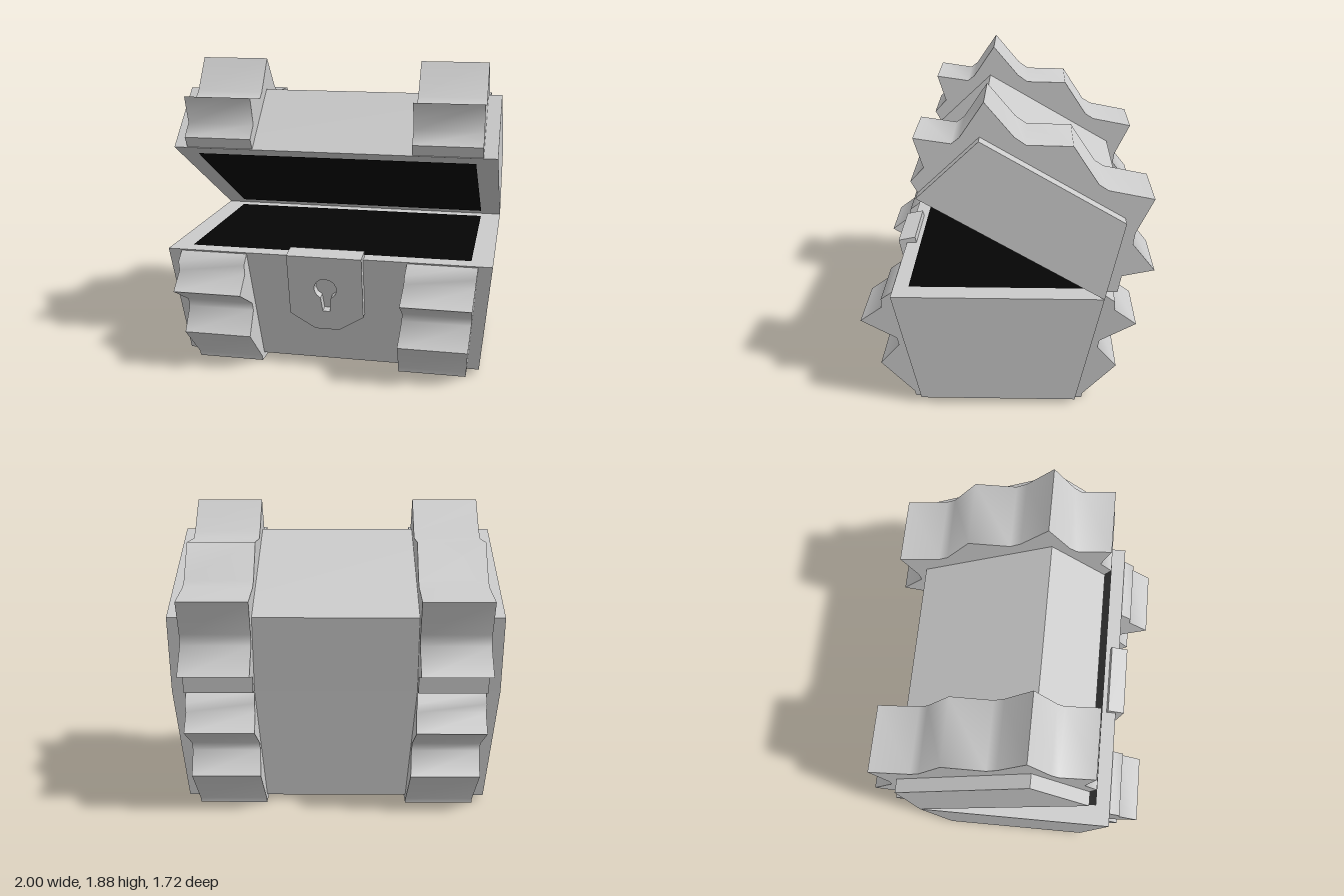
import * as THREE from 'three';
import { toCreasedNormals } from 'three/addons/utils/BufferGeometryUtils.js';

const grey = new THREE.MeshStandardMaterial({ color: 0xcccccc });
const black = new THREE.MeshStandardMaterial({ color: 0x050505, side: THREE.DoubleSide });

// Extrudes a side profile of [z, y] points along x, centred on x = 0
function extrudeProfile(points, width) {
  const shape = new THREE.Shape(points.map(([z, y]) => new THREE.Vector2(-z, y)));
  const geo = new THREE.ExtrudeGeometry(shape, { depth: width, bevelEnabled: false });
  return geo.translate(0, 0, -width / 2).rotateY(Math.PI / 2);
}

function addMesh(parent, name, geo, mat = grey) {
  const mesh = new THREE.Mesh(geo, mat);
  mesh.name = name;
  parent.add(mesh);
  return mesh;
}

// Moves every vertex by a rule
function deform(geo, rule) {
  const p = geo.attributes.position;
  const v = new THREE.Vector3();
  for (let i = 0; i < p.count; i++) {
    rule(v.fromBufferAttribute(p, i));
    p.setXYZ(i, v.x, v.y, v.z);
  }
  geo.computeVertexNormals();
  return geo;
}

// Pair of jagged straps; lean pulls them towards the middle lower down
function addBands(parent, name, profile, lean) {
  for (const side of [-1, 1]) {
    const geo = deform(extrudeProfile(profile, 0.42), (v) => {
      v.x += side * (0.706 - lean * (0.75 - v.y));
    });
    addMesh(parent, name + (side > 0 ? 'Left' : 'Right'), toCreasedNormals(geo, 1.1));
  }
}

export function createModel() {
  const chest = new THREE.Group();
  chest.name = 'chest';
  const base = new THREE.Group();
  base.name = 'base';
  const lid = new THREE.Group();
  lid.name = 'lid';
  chest.add(base, lid);

  // Tapered body
  const body = deform(new THREE.BoxGeometry(2, 0.715, 2).translate(0, 0.3925, 0), (v) => {
    const top = v.y > 0.4;
    v.x *= top ? 1 : 0.935;
    v.z = 0.045 + v.z * (top ? 0.615 : 0.465);
  });
  addMesh(base, 'body', body);

  // Dark opening of the body
  const opening = new THREE.PlaneGeometry(1.74, 1.05).rotateX(-Math.PI / 2);
  addMesh(base, 'bodyOpening', opening.translate(0, 0.754, 0.045), black);

  // Body straps: front half of the profile, mirrored to the back
  const frontHalf = [
    [0.6, 0.7], [0.65, 0.748], [0.73, 0.69], [0.73, 0.635], [0.86, 0.54],
    [0.65, 0.42], [0.64, 0.37], [0.755, 0.24], [0.56, 0.03], [0.555, 0],
  ];
  const backHalf = frontHalf.map(([z, y]) => [0.09 - z, y]).reverse();
  addBands(base, 'bodyStrap', [...frontHalf, ...backHalf], 0.078);

  // Lid block, swung open on the back edge
  addMesh(lid, 'lidShell', extrudeProfile(
    [[0.49, 1.36], [0.14, 1.69], [-0.675, 1.22], [-0.57, 0.75]], 2));

  // Dark opening of the lid
  const lidAngle = Math.atan2(0.61, 1.06);
  const lidOpening = addMesh(lid, 'lidOpening',
    new THREE.PlaneGeometry(1.74, 1.05).rotateX(Math.PI / 2), black);
  lidOpening.position.set(0, 1.05, -0.037);
  lidOpening.rotation.x = -lidAngle;

  // Lid straps
  addBands(lid, 'lidStrap', [
    [0.35, 1.4], [0.485, 1.36], [0.525, 1.43], [0.45, 1.51], [0.505, 1.68], [0.295, 1.65],
    [0.25, 1.685], [0.115, 1.885], [-0.05, 1.69], [-0.115, 1.645], [-0.375, 1.64],
    [-0.52, 1.42], [-0.575, 1.385], [-0.835, 1.335], [-0.735, 1.13], [-0.725, 1.06],
    [-0.855, 0.9], [-0.67, 0.86], [-0.65, 0.758], [-0.57, 0.755], [-0.53, 0.88],
  ], 0);

  // Lock plate with keyhole, tilted with the front wall
  const plate = new THREE.Shape([
    [-0.23, 0.026], [-0.23, -0.378], [-0.075, -0.48],
    [0.075, -0.48], [0.23, -0.378], [0.23, 0.026],
  ].map(([x, y]) => new THREE.Vector2(x, y)));
  const keyhole = new THREE.Path();
  keyhole.moveTo(-0.022, -0.35);
  keyhole.lineTo(0.022, -0.35);
  keyhole.lineTo(0.03, -0.275);
  keyhole.absarc(0, -0.194, 0.07, -1.1, Math.PI + 1.1, false);
  keyhole.lineTo(-0.03, -0.275);
  keyhole.closePath();
  plate.holes.push(keyhole);
  const lock = addMesh(base, 'lockPlate', new THREE.ExtrudeGeometry(
    plate, { depth: 0.11, bevelEnabled: false, curveSegments: 6 }).translate(0, 0, -0.06));
  lock.position.set(0, 0.75, 0.66);
  lock.rotation.x = Math.atan2(0.15, 0.715);

  return chest;
}
